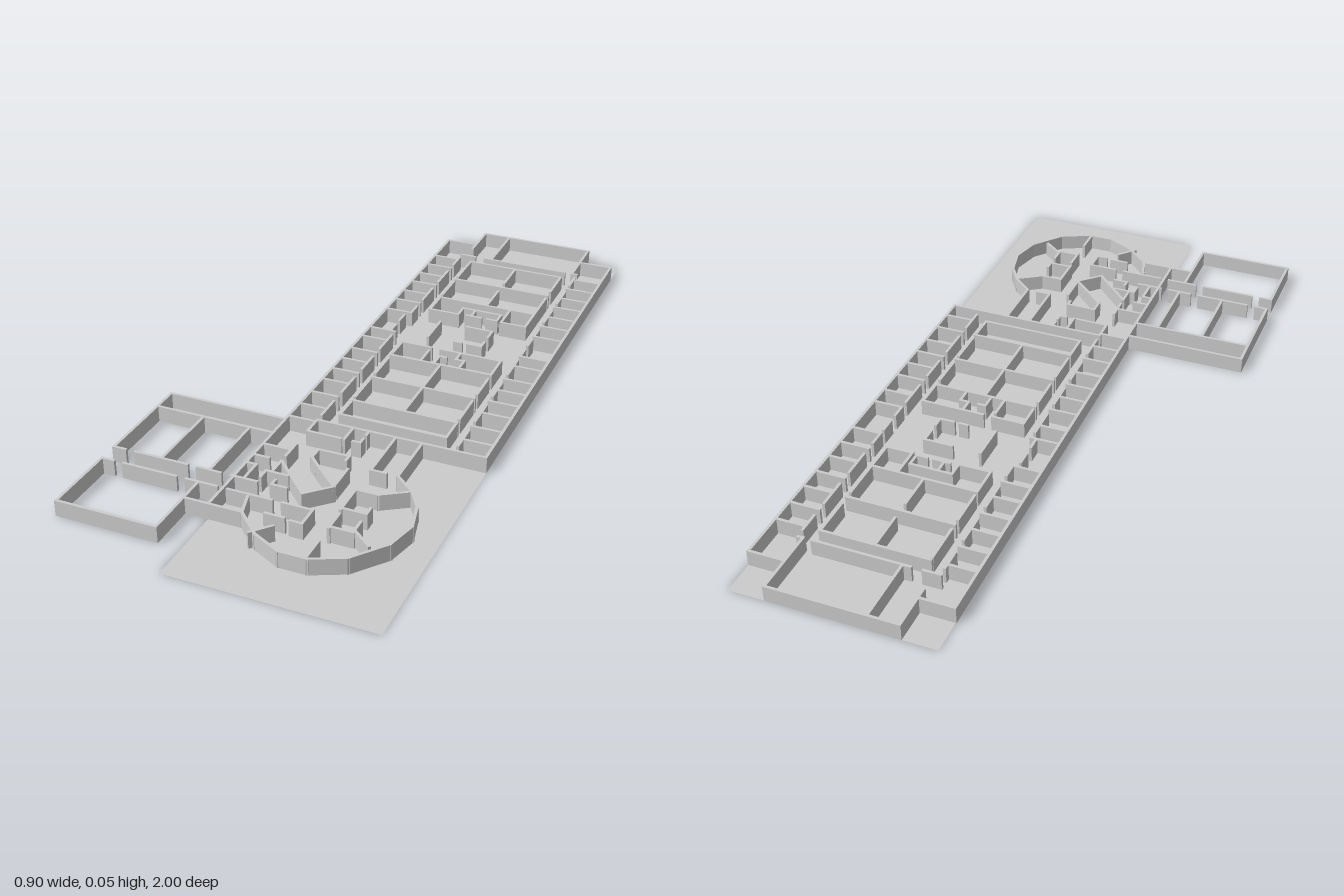
import * as THREE from 'three';
import { mergeGeometries } from 'three/addons/utils/BufferGeometryUtils.js';

const HEIGHT = 0.045, THICK = 0.008;
const material = new THREE.MeshStandardMaterial({ color: 0xcccccc, side: THREE.DoubleSide });

// One straight wall; plan coordinates are in hundredths of a unit
function wall(x1, z1, x2, z2) {
  const dx = (x2 - x1) / 100, dz = (z2 - z1) / 100;
  const g = new THREE.BoxGeometry(Math.hypot(dx, dz) + THICK, HEIGHT, THICK);
  g.rotateY(-Math.atan2(dz, dx));
  g.translate((x1 + x2) / 200, HEIGHT / 2, (z1 + z2) / 200);
  return g;
}
function addWalls(parent, name, list) {
  const mesh = new THREE.Mesh(mergeGeometries(list.map((w) => wall(...w))), material);
  mesh.name = name;
  parent.add(mesh);
}
const pathWalls = (pts) => pts.slice(1).map((p, i) => [...pts[i], ...p]);

export function createModel() {
  const model = new THREE.Group();
  model.name = 'floorPlan';

  // Ground sheet
  const floor = new THREE.Mesh(new THREE.PlaneGeometry(0.555, 2).rotateX(-Math.PI / 2), material);
  floor.position.x = 0.1725;
  floor.name = 'floor';
  model.add(floor);

  // Long outer walls and the stepped back end
  addWalls(model, 'outerWalls', [
    ...pathWalls([[-10.3, 76.4], [-10.3, -90], [-0.8, -90], [-0.8, -99.6], [34.6, -99.6],
      [34.6, -90], [44.6, -90], [44.6, 31], [-2.4, 31]]),
    [-0.8, -90, -0.8, -87], [34.6, -90, 34.6, -81], [7.6, -99.6, 7.6, -81],
    [5.5, -81, 32, -81], [-2.4, -81, 2, -81], [34.6, -81, 36, -81],
  ]);

  // Small rooms along both sides, with door gaps onto the corridors
  const rooms = [];
  const partitions = [-77, -70, -63, -56.5, -49.5, -43, -36, -23, -17, -9, -2.5, 4, 10.5, 18, 25];
  for (const z of partitions) rooms.push([-10.3, z, -2.4, z], [36.2, z, 44.6, z]);
  rooms.push([-10.3, 32, -2.4, 32]);
  const doors = [-81, ...partitions, 31];
  for (let i = 0; i < doors.length - 1; i++) {
    const a = doors[i], b = doors[i + 1];
    if (a === -36) {
      for (const x of [-3.8, 36.2]) rooms.push([x, -34, x, -30], [x, -27, x, -23]);
      continue;
    }
    const [s, e] = i % 2 ? [a, b - 2.6] : [a + 2.6, b];
    for (const x of [-2.4, 36.2]) rooms.push([x, s, x, e]);
  }
  addWalls(model, 'sideRooms', rooms);

  // Back block of large rooms
  addWalls(model, 'backBlock', [
    [2, -77, 32, -77], [2, -63, 32, -63], [2, -49.3, 32, -49.3],
    [17, -77, 17, -66], [17, -60, 17, -49.3],
    [2, -76, 2, -65], [2, -61, 2, -51], [32, -77, 32, -66], [32, -61, 32, -49.3],
    [2, -49.3, 2, -40.6], [2, -40.6, 11, -40.6], [11, -40.6, 11, -45],
    [11, -45, 23, -45], [23, -45, 23, -42], [24.5, -49.3, 24.5, -40.6], [24.5, -40.6, 32, -40.6],
    [32, -49.3, 32, -40.6], [15, -45, 15, -41], [13.5, -41, 18, -41], [20, -41, 23, -41],
  ]);

  // Open hall in the middle
  addWalls(model, 'middleHall', [
    [7.7, -34, 7.7, -24], [16, -34, 24, -34], [24, -34, 24, -30], [24, -27, 24, -24],
    [16, -24, 18, -24], [20, -24, 24, -24],
  ]);

  // Front block of large rooms
  addWalls(model, 'frontBlock', [
    [2, -18, 11, -18], [14, -18, 32, -18], [2, -9.5, 32, -9.5], [2, 4.3, 32, 4.3],
    [2, 18, 32, 18], [2, 26, 32, 26], [17, -9.5, 17, 18],
    [2, -18, 2, -11], [2, -7, 2, 2], [2, 6, 2, 16], [2, 19, 2, 26],
    [32, -18, 32, -9.5], [32, -7, 32, 2], [32, 6, 32, 16], [32, 19, 32, 26],
    [11, -16, 11, -9.5], [15, -14, 15, -9.5], [15, -14, 17, -14], [20, -14, 22.5, -14],
    [20, -18, 20, -14], [22.5, -14, 22.5, -9.5],
  ]);

  // Lobby between the long building and the round hall
  addWalls(model, 'lobby', [
    [-2.4, 31, -2.4, 37], [-2.4, 37, 7, 37], [8, 31, 8, 37], [12.5, 31, 12.5, 33],
    [10.5, 37, 12.5, 37], [12.5, 35, 12.5, 37], [20, 31, 20, 47.5], [27.3, 31, 27.3, 47.5], [20, 47.5, 24, 47.5],
    [-10.3, 47, -2.4, 47], [-2.4, 44, -2.4, 50], [-10.3, 52.5, -6, 52.5],
    [-10.3, 56.5, -7.5, 56.5], [-7.5, 56.5, -7.5, 63], [-4, 58, 2, 58], [-4, 58, -4, 61],
    [-2.4, 52.5, -2.4, 58], [0, 61, 0, 63], [0, 63, 4, 63],
  ]);

  // Faceted curved wall of the round hall
  addWalls(model, 'roundWall', pathWalls([[27.3, 47.5], [33, 52.5], [36.5, 58], [38.4, 66], [36.3, 74.5],
    [29.5, 83], [21, 87], [13.5, 87], [5.5, 83], [-1.2, 76.4], [-3, 70]]));

  // Slanted core and short partitions inside the round hall
  addWalls(model, 'roundHallRooms', [
    [-2.4, 52.5, 8.7, 63.7], [8.7, 63.7, 14.5, 58], [6, 50, 14.5, 58], [4, 44, 12.5, 44],
    [4, 44, 4, 48], [4, 48, 6, 50], [12.5, 44, 12.5, 46], [14.5, 49.5, 14.5, 57],
    [20, 57, 20, 66], [20, 57, 26, 57], [26, 57, 33, 52.5], [20, 65.5, 26.5, 65.5],
    [26.5, 63, 26.5, 65.5], [20.5, 68, 20.5, 74], [20.5, 73.5, 26.5, 73.5], [26.5, 69, 26.5, 73.5],
    [27, 73, 32, 77], [14, 69, 14, 75], [6, 69, 14, 69], [4, 74.5, 9, 74.5], [11, 75, 14, 75],
    [8, 78.5, 4, 83], [20.5, 80, 20.5, 87], [-3, 69, 3, 69],
  ]);

  // Side wing beyond the ground sheet
  addWalls(model, 'sideWing', [
    [-44.8, 34, -10.3, 34], [-44.8, 34, -44.8, 63.3], [-44.8, 69, -44.8, 89.6],
    [-44.8, 89.6, -17.1, 89.6], [-17.1, 89.6, -17.1, 69], [-17.1, 76.4, -1.2, 76.4],
    [-44.8, 41.4, -10.3, 41.4], [-30.8, 41.4, -30.8, 63.3], [-17.1, 41.4, -17.1, 63.3],
    [-44.8, 63.3, -41.5, 63.3], [-38.5, 63.3, -23.5, 63.3], [-20.5, 63.3, -14, 63.3],
    [-11, 63.3, -4, 63.3], [-44.8, 69, -41.5, 69], [-38.5, 69, -23.5, 69],
    [-20.5, 69, -12, 69], [-9, 69, -3, 69],
  ]);

  return model;
}
